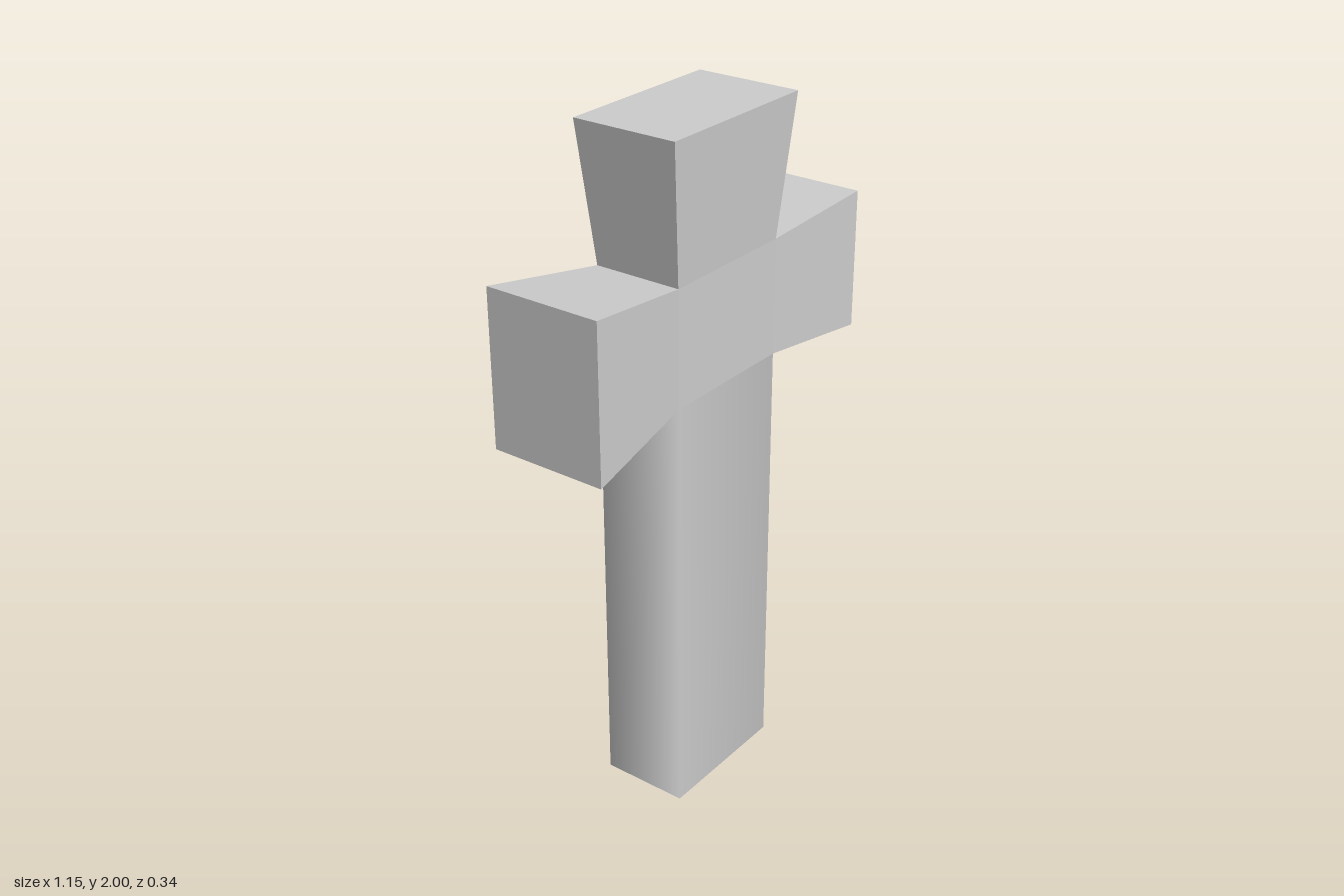
import * as THREE from 'three';

const W = 0.213, D = 0.13;        // half width and half depth of the core
const LOW = 1.27, HIGH = 1.605;   // bottom and top of the core

// Flat-shaded mesh from quads, corners counter-clockwise from outside
function quadMesh(name, quads, material) {
  const points = quads.flatMap(([a, b, c, d]) => [a, b, c, a, c, d]).flat();
  const geometry = new THREE.BufferGeometry();
  geometry.setAttribute('position', new THREE.Float32BufferAttribute(points, 3));
  geometry.computeVertexNormals();
  const mesh = new THREE.Mesh(geometry, material);
  mesh.name = name;
  return mesh;
}

// Four flared walls between two rings, closed by an outer cap
function flare(name, inner, outer, material) {
  const quads = inner.map((p, i) => {
    const j = (i + 1) % 4;
    return [p, inner[j], outer[j], outer[i]];
  });
  quads.push(outer);
  return quadMesh(name, quads, material);
}

// Rings are counter-clockwise as seen from outside the arm's end
function sideRing(x, low, high, d) {
  const ring = [[x, low, d], [x, low, -d], [x, high, -d], [x, high, d]];
  return x > 0 ? ring : ring.reverse();
}

function topRing(y, w, d) {
  return [[-w, y, d], [w, y, d], [w, y, -d], [-w, y, -d]];
}

export function createModel() {
  const model = new THREE.Group();
  const grey = new THREE.MeshStandardMaterial({ color: 0xcccccc, side: THREE.DoubleSide });

  // Hollow rectangular shaft with softly shaded corners
  const shaftGeometry = new THREE.CylinderGeometry(Math.SQRT2, Math.SQRT2, LOW, 4, 1, true, Math.PI / 4);
  shaftGeometry.scale(W, 1, D).translate(0, LOW / 2, 0);
  const shaft = new THREE.Mesh(shaftGeometry, grey);
  shaft.name = 'shaft';
  model.add(shaft);

  // Front and back of the crossing
  model.add(quadMesh('crossing', [1, -1].map((s) => [
    [-s * W, LOW, s * D], [s * W, LOW, s * D], [s * W, HIGH, s * D], [-s * W, HIGH, s * D],
  ]), grey));

  // Flared arms, the right one slightly larger
  model.add(flare('leftArm', sideRing(W, LOW, HIGH, D), sideRing(0.575, 1.235, 1.64, 0.156), grey));
  model.add(flare('rightArm', sideRing(-W, LOW, HIGH, D), sideRing(-0.578, 1.215, 1.66, 0.172), grey));
  model.add(flare('topArm', topRing(HIGH, W, D), topRing(2, 0.259, 0.156), grey));

  return model;
}
